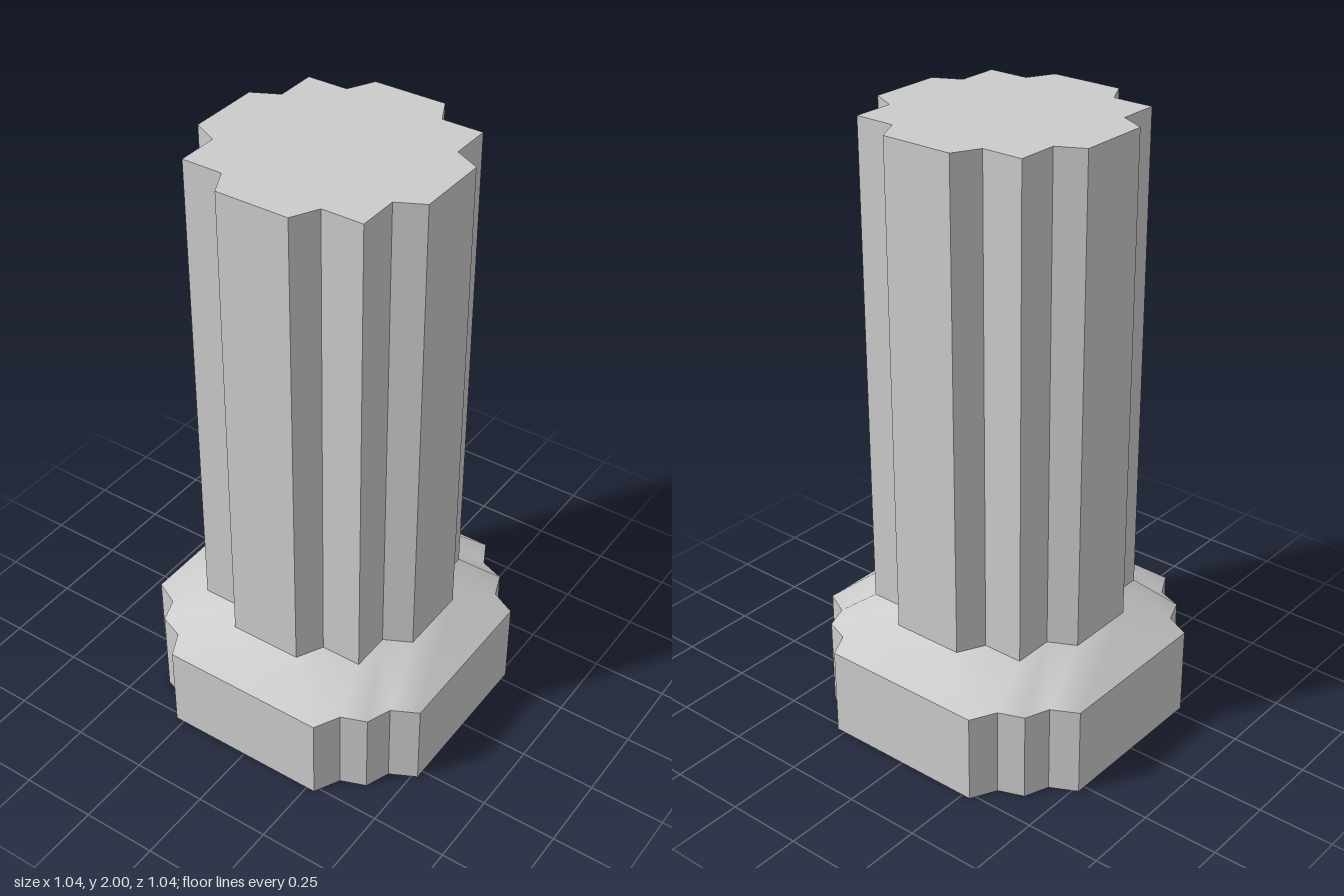
import * as THREE from 'three';

const material = new THREE.MeshStandardMaterial({ color: 0xcccccc });

// One quadrant of each outline; the others are quarter turns of it
const BASE = [[0.518, 0.279], [0.434, 0.322], [0.403, 0.403], [0.322, 0.434], [0.279, 0.518]];
const SHAFT = [[0.385, 0.12], [0.299, 0.164], [0.299, 0.299], [0.164, 0.299], [0.12, 0.385]];

function outline(quadrant) {
  const points = [];
  for (let q = 0; q < 4; q++) {
    for (const [x, y] of quadrant) {
      points.push([new THREE.Vector2(x, y), new THREE.Vector2(-y, x),
        new THREE.Vector2(-x, -y), new THREE.Vector2(y, -x)][q]);
    }
  }
  return points;
}

// Upright solid with the given outline between two heights
function prism(name, quadrant, y0, y1) {
  const geometry = new THREE.ExtrudeGeometry(new THREE.Shape(outline(quadrant)),
    { depth: y1 - y0, bevelEnabled: false });
  geometry.rotateX(-Math.PI / 2).translate(0, y0, 0);
  const mesh = new THREE.Mesh(geometry, material);
  mesh.name = name;
  return mesh;
}

// Smooth sloping band joining two outlines point to point
function slope(name, lower, upper, y0, y1) {
  const a = outline(lower), b = outline(upper), n = a.length;
  const positions = [], index = [];
  a.forEach(p => positions.push(p.x, y0, -p.y));
  b.forEach(p => positions.push(p.x, y1, -p.y));
  for (let i = 0; i < n; i++) {
    const j = (i + 1) % n;
    index.push(i, j, n + j, i, n + j, n + i);
  }
  const geometry = new THREE.BufferGeometry();
  geometry.setAttribute('position', new THREE.Float32BufferAttribute(positions, 3));
  geometry.setIndex(index);
  geometry.computeVertexNormals();
  const mesh = new THREE.Mesh(geometry, material);
  mesh.name = name;
  return mesh;
}

export function createModel() {
  const model = new THREE.Group();
  model.name = 'column';
  model.add(
    prism('base', BASE, 0, 0.295),
    slope('baseSlope', BASE, SHAFT, 0.295, 0.4),
    prism('shaft', SHAFT, 0.4, 2),
  );
  return model;
}
